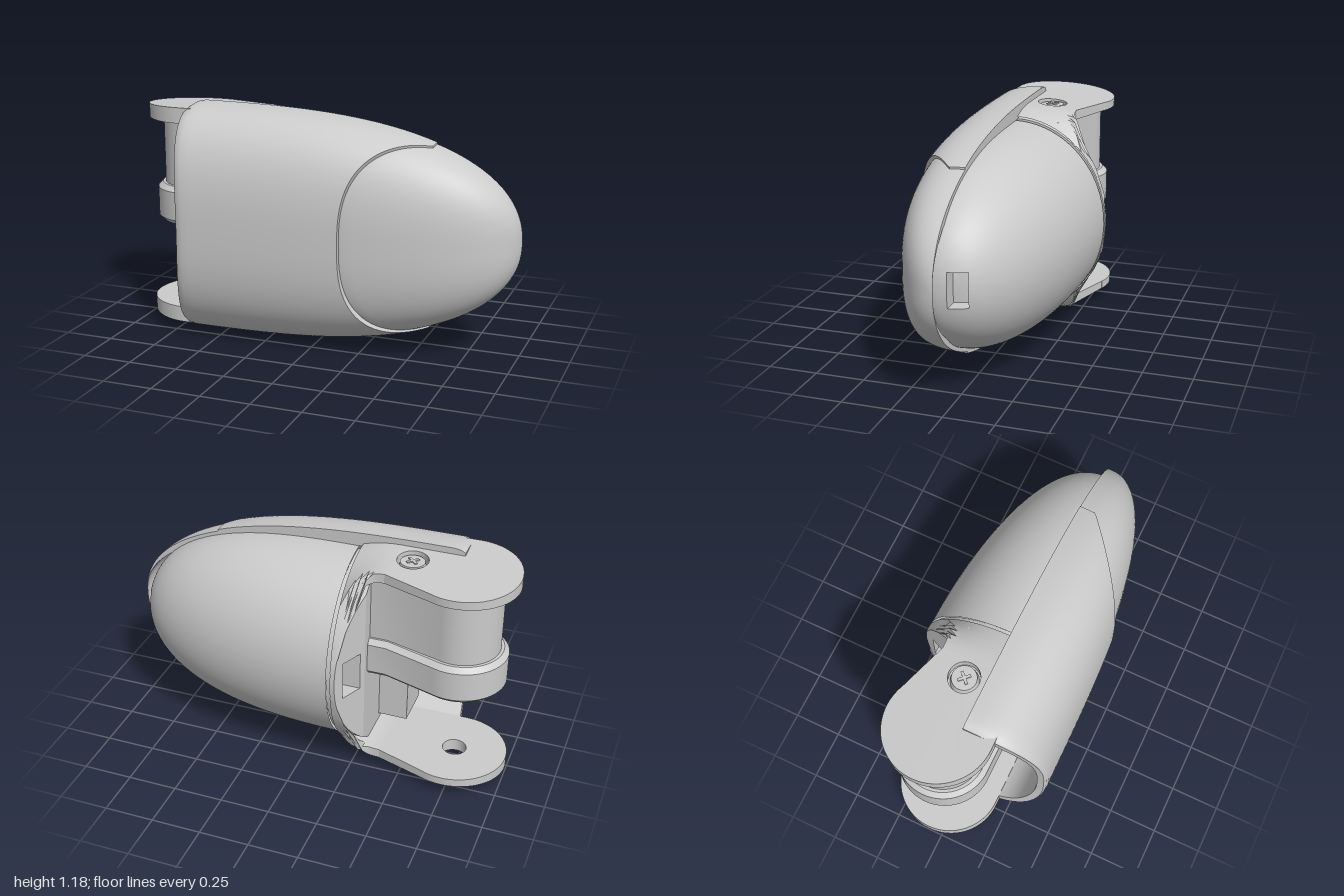
import * as THREE from 'three';
import { toCreasedNormals } from 'three/addons/utils/BufferGeometryUtils.js';

const CY = 0.59; // height of the long axis
const RIM = 0.035; // plane where shell and body meet
const mat = new THREE.MeshStandardMaterial({ color: 0xcccccc, side: THREE.DoubleSide });

function part(name, geo, crease = 0.6) {
  const mesh = new THREE.Mesh(toCreasedNormals(geo, crease), mat);
  mesh.name = name;
  return mesh;
}

// Surface through rows of [x, y, z] points
function loft(rows) {
  const m = rows[0].length, index = [];
  for (let i = 0; i < rows.length - 1; i++)
    for (let j = 0; j < m - 1; j++) {
      const a = i * m + j, b = a + 1, d = a + m, c = d + 1;
      index.push(a, b, d, b, c, d);
    }
  const g = new THREE.BufferGeometry();
  g.setAttribute('position', new THREE.Float32BufferAttribute(rows.flat(2), 3));
  g.setIndex(index);
  return g;
}

// Extrude a plan drawn in x and z between two heights
function plan(shape, y0, y1, bevel = 0) {
  const g = new THREE.ExtrudeGeometry(shape, {
    depth: y1 - y0 - 2 * bevel, bevelEnabled: bevel > 0, bevelSize: bevel,
    bevelThickness: bevel, bevelOffset: -bevel, bevelSegments: 1, curveSegments: 32,
  });
  return g.rotateX(Math.PI / 2).translate(0, y1 - bevel, 0);
}

const taper = (t, p, e) => Math.pow(Math.max(0, 1 - Math.pow(Math.min(1, Math.max(0, t)), p)), e);

// --- shell and fingertip pad -------------------------------------------
function shellPoint(x, a, ky, kz) {
  const t = (x + 0.7) / 1.7;
  const c = Math.cos(a), s = Math.max(0, Math.sin(a));
  return [
    x,
    CY + ky * 0.588 * taper(t, 2.95, 0.45) * Math.sign(c) * Math.pow(Math.abs(c), 0.74),
    RIM + kz * 0.395 * taper(t, 3.8, 0.5) * Math.pow(s, 0.74),
  ];
}

// The slanted plane where the pad starts, levelling off near the rim
function cutX(a) {
  let x = 0.3;
  for (let i = 0; i < 14; i++)
    x = Math.min(0.57, 0.21 + (0.4 - shellPoint(x, a, 1, 1)[2]) * 1.27);
  return x;
}

// Thick half tube with a softened start; xAt(u, a) gives the station along the axis
function thickHalf(xAt, steps, ky, kz) {
  const N = 64, rows = [];
  const row = (u, outer) => {
    const out = [], inn = [];
    for (let j = 0; j <= N; j++) {
      const a = (j / N) * Math.PI, x = xAt(u, a);
      out.push(shellPoint(x, a, outer * ky, outer * kz));
      inn.push(shellPoint(x, a, 0.88 * ky, 0.88 * kz));
    }
    return [...out, ...inn.reverse(), out[0]];
  };
  rows.push(row(0, 0.88), row(0, 0.97), row(0.015, 0.99));
  for (let i = 1; i <= steps; i++) rows.push(row(i / steps, 1));
  rows.push(row(1, 0.88));
  return loft(rows);
}

// --- rounded back body with a square pocket at the tip -----------------
const bodyDepth = (z) => (z > RIM ? 0.3 : 0.47);

function bodyX(y, z) {
  let lo = -0.18, hi = 0.95;
  for (let i = 0; i < 36; i++) {
    const x = (lo + hi) / 2, t = (x + 0.18) / 1.13;
    const w = 0.51 * taper(t, 2.8, 0.45), d = bodyDepth(z) * taper(t, 1.9, 0.43);
    if ((y / w) ** 2 + ((z - RIM) / d) ** 2 < 1) lo = x; else hi = x;
  }
  return lo;
}

function bodyGeometry() {
  const zc = -0.055, hy = 0.085, hz = 0.045, S = 24, R = 40;
  const corners = [[hy, hz], [hy, -hz], [-hy, -hz], [-hy, hz], [hy, hz]];
  const rim = [];
  for (let k = 0; k < 4; k++)
    for (let i = 0; i < S; i++)
      rim.push([0, 1].map((n) => corners[k][n] + (corners[k + 1][n] - corners[k][n]) * i / S));
  rim.push(rim[0]);
  // How far a ray from the pocket centre goes before it leaves the base outline
  const reach = rim.map(([y, z]) => {
    let lo = 1, hi = 40;
    for (let i = 0; i < 40; i++) {
      const k = (lo + hi) / 2, Z = zc + z * k;
      if ((y * k / 0.51) ** 2 + ((Z - RIM) / bodyDepth(Z)) ** 2 < 1) lo = k; else hi = k;
    }
    return lo;
  });
  const ring = (f, push) => rim.map(([y, z], j) => {
    const k = f <= 0 ? 1 + f : 1 + (reach[j] - 1) * f;
    return [bodyX(y * k, zc + z * k) - push, CY + y * k, zc + z * k];
  });
  const rows = [ring(-1, 0.08), ring(0, 0.08)];
  for (let i = 0; i <= R; i++) rows.push(ring(1 - (1 - i / R) ** 2, 0));
  return loft(rows);
}

// --- bracket -----------------------------------------------------------
const PX = -0.74, PZ = -0.07; // pivot axis
const lugTop = (z) => 0.553 + 0.075 * z;

function lug(side) {
  const s = new THREE.Shape();
  s.moveTo(-0.39, 0.19);
  s.lineTo(-0.39, -0.225);
  s.lineTo(-0.65, -0.315);
  s.absarc(PX, PZ, 0.262, -1.22, -Math.PI * 1.5, true);
  const hole = new THREE.Path();
  if (side > 0) hole.absarc(-0.48, PZ, 0.076, 0, Math.PI * 2);
  else hole.absarc(PX, PZ, 0.06, 0, Math.PI * 2);
  s.holes.push(hole);
  const g = plan(s, side > 0 ? CY + 0.487 : CY - 0.557, side > 0 ? CY + 0.557 : CY - 0.487);
  // Slope the outer face
  const p = g.attributes.position;
  for (let i = 0; i < p.count; i++)
    if (side * (p.getY(i) - CY) > 0.52) p.setY(i, CY + side * lugTop(p.getZ(i)));
  return g;
}

// Blend from a flat lug into the rounded wall
function neck(side) {
  const stations = [[-0.39, -0.225], [-0.36, -0.226], [-0.335, -0.23], [-0.31, -0.25],
    [-0.28, -0.31], [-0.255, -0.37], [-0.235, -0.42], [-0.2, -0.435]];
  const N = 24;
  return loft(stations.map(([x, edge]) => {
    const along = ((x + 0.39) / 0.19) ** 2, out = [], inn = [];
    for (let j = 0; j <= N; j++) {
      const z = edge + (0.19 - edge) * j / N;
      const b = Math.max(along, THREE.MathUtils.smoothstep(-z, 0.22, 0.3));
      const round = 0.525 * Math.sqrt(Math.max(0, 1 - ((z - RIM) / 0.474) ** 2));
      const h = lugTop(z) * (1 - b) + round * b;
      out.push([x, CY + side * h, z]);
      inn.push([x, CY + side * Math.min(h, 0.487 - 0.09 * along), z]);
    }
    const loop = [...out, ...inn.reverse(), out[0]];
    return side > 0 ? loop : loop.reverse();
  }));
}

// Plate drawn in y and z, with a back face that may lean
function wall(points, backX, frontX, hole) {
  const s = new THREE.Shape(points.map((q) => new THREE.Vector2(...q)));
  if (hole) s.holes.push(new THREE.Path(hole.map((q) => new THREE.Vector2(...q))));
  const g = new THREE.ExtrudeGeometry(s, { depth: 1, bevelEnabled: false });
  const p = g.attributes.position;
  for (let i = 0; i < p.count; i++) {
    const y = p.getX(i), z = p.getY(i);
    p.setXYZ(i, p.getZ(i) < 0.5 ? backX(z) : frontX, CY + y, z);
  }
  return g;
}

function halfEllipse(w, d, z0) {
  const a0 = Math.asin((RIM - z0) / d), pts = [];
  for (let i = 0; i <= 40; i++) {
    const a = a0 + (Math.PI - 2 * a0) * i / 40;
    pts.push([w * Math.cos(a), RIM - d * Math.sin(a)]);
  }
  return pts;
}

// Round at the pivot, narrowing to the wall
function barrelPlan(r, edge) {
  const s = new THREE.Shape();
  s.moveTo(-0.24, edge);
  s.lineTo(-0.24, PZ + r);
  s.lineTo(PX, PZ + r);
  s.absarc(PX, PZ, r, Math.PI / 2, Math.PI * 2 - 1.2, false);
  s.lineTo(-0.4, edge);
  return s;
}

export function createModel() {
  const model = new THREE.Group();
  model.name = 'fingertipSegment';

  const startX = (a) => -0.65 - 0.055 * Math.abs(Math.cos(a)) ** 1.6;
  model.add(part('frontShell', thickHalf((u, a) => startX(a) + (cutX(a) - startX(a)) * u, 24, 1, 1)));
  model.add(part('fingertipPad', thickHalf((u, a) => {
    const c = cutX(a) - 0.03;
    return c + (1 - c) * Math.sin(u * Math.PI / 2);
  }, 28, 0.98, 0.94)));
  model.add(part('backBody', bodyGeometry()));

  // Bracket wall: upright part, leaning part with a slot, and the recessed seam
  const bracket = new THREE.Group();
  bracket.name = 'bracket';
  const low = halfEllipse(0.515, 0.47, RIM).filter((q) => q[1] > -0.24);
  const arc = halfEllipse(0.515, 0.47, -0.24);
  const left = low.filter((q) => q[0] > 0), right = low.filter((q) => q[0] < 0);
  bracket.add(part('wall', wall([...left, arc[0], arc[40], ...right,
    [-0.5, 0.15], [-0.4, 0.3], [0.4, 0.3], [0.5, 0.15]], () => -0.31, -0.2)));
  bracket.add(part('leaningWall', wall(arc, (z) => -0.31 + 0.45 * (-0.24 - z), -0.2,
    [[-0.1, -0.38], [0.1, -0.38], [0.1, -0.27], [-0.1, -0.27]])));
  bracket.add(part('seam', wall(halfEllipse(0.495, 0.455, RIM), () => -0.205, -0.175)));
  for (const [name, side] of [['upper', 1], ['lower', -1]])
    bracket.add(part(name + 'Lug', lug(side)), part(name + 'LugNeck', neck(side)));

  // Pivot barrel hanging from the upper lug
  bracket.add(part('barrel', plan(barrelPlan(0.19, -0.17), 0.7, 1.09)));
  bracket.add(part('barrelFlange', plan(barrelPlan(0.23, -0.205), 0.53, 0.73, 0.025), 0.4));
  const rib = new THREE.BoxGeometry(0.2, 0.4, 0.22).translate(-0.36, 0.35, 0.12);
  bracket.add(part('innerRib', rib));
  model.add(bracket);

  // Screw sunk in the upper lug
  const screw = new THREE.Group();
  screw.name = 'screw';
  screw.position.set(-0.48, 0, PZ);
  screw.add(part('screwHead', new THREE.CylinderGeometry(0.06, 0.068, 0.04, 32).translate(0, 1.11, 0)));
  for (const turn of [1, -1]) {
    const bar = new THREE.BoxGeometry(0.065, 0.008, 0.014).rotateY(turn * Math.PI / 4);
    screw.add(part('crossBar', bar.translate(0, 1.132, 0)));
  }
  model.add(screw);
  return model;
}
